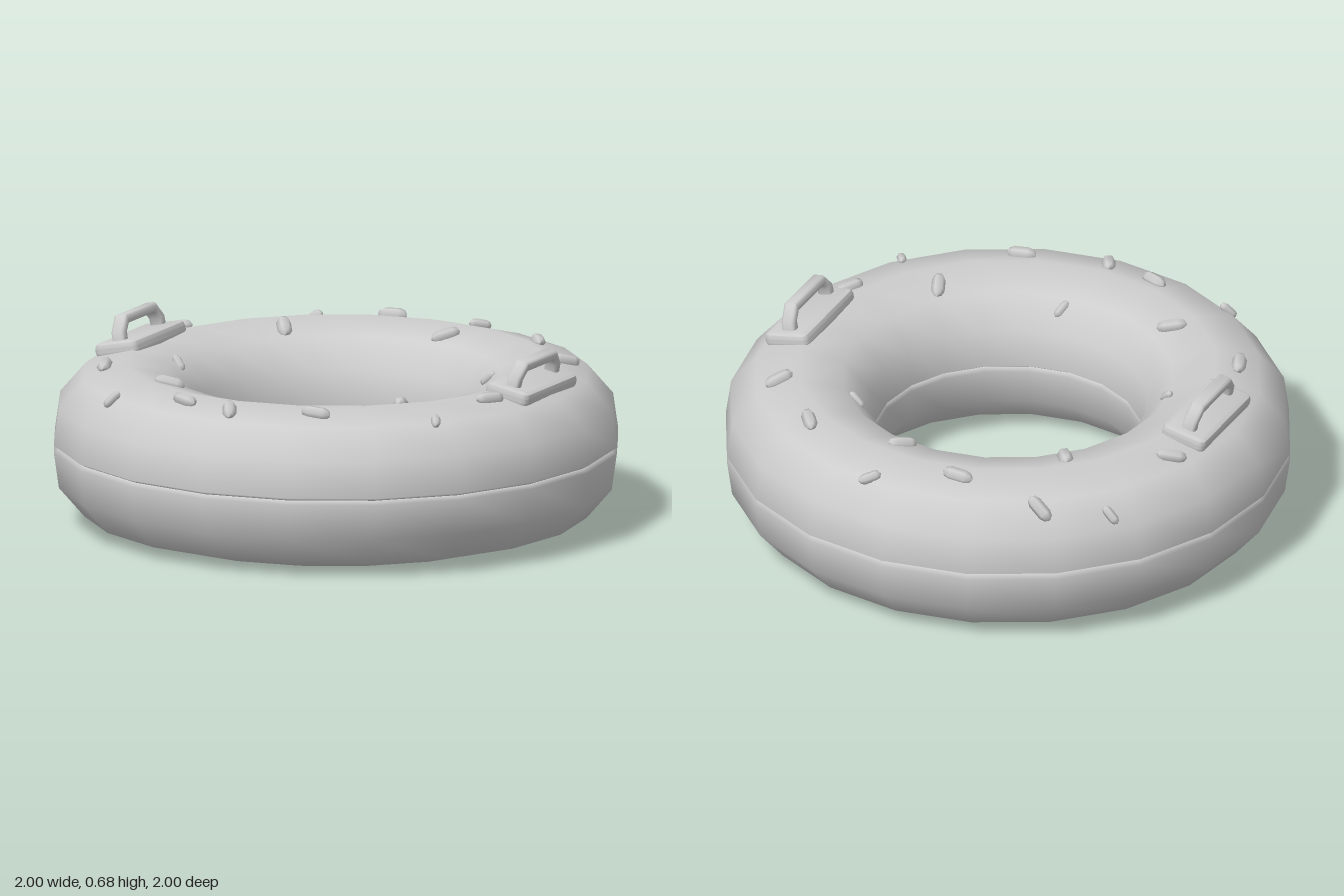
import * as THREE from 'three';
import { toCreasedNormals } from 'three/addons/utils/BufferGeometryUtils.js';

const MID = 0.2875; // height of the welded seam

// Upper half of the tube section, from outer seam over the top to inner seam
const HALF = [
  [0.975, 0.0], [0.998, 0.012], [0.98, 0.14], [0.89, 0.245], [0.735, 0.2875],
  [0.58, 0.245], [0.49, 0.14], [0.472, 0.012], [0.49, 0.0],
];

// Height and slope of the tube's upper surface at radius r
function surfaceAt(r) {
  for (let i = 1; i < HALF.length - 2; i++) {
    const [r0, y0] = HALF[i], [r1, y1] = HALF[i + 1];
    if (r <= r0 && r >= r1) {
      const t = (r - r0) / (r1 - r0);
      return { y: MID + y0 + (y1 - y0) * t, slope: (y1 - y0) / (r1 - r0) };
    }
  }
  return { y: MID * 2, slope: 0 };
}

// Sprinkles: x, z, direction x, direction z, length
const SPRINKLES = [
  [0.11, -0.87, 1, -1, 0.085], [-0.5, -0.76, 20, 3, 0.11], [-0.18, -0.76, 1, 0, 0.115],
  [-0.71, -0.625, 10, 1, 0.078], [0.105, -0.62, 14, -15, 0.11], [0.46, -0.64, 13, 17, 0.11],
  [-0.45, -0.46, 13, 20, 0.12], [0.685, -0.425, 12, -16, 0.11], [0.43, -0.325, 20, 1, 0.072],
  [-0.78, -0.285, 18, -9, 0.11], [-0.56, 0.12, 11, 5, 0.07], [0.745, 0.255, 11, -18, 0.11],
  [-0.71, 0.39, 8, 20, 0.115], [0.48, 0.42, 8, 20, 0.11], [-0.38, 0.525, 19, -7, 0.11],
  [0.06, 0.545, 7, -11, 0.072], [0.69, 0.555, 7, 12, 0.075], [-0.49, 0.75, 12, -7, 0.075],
  [-0.19, 0.77, 18, 8, 0.11], [0.01, 0.815, 9, 17, 0.11], [0.31, 0.735, 20, -2, 0.11],
];

function roundedRect(w, h, r) {
  const s = new THREE.Shape();
  s.moveTo(-w + r, -h);
  s.lineTo(w - r, -h).quadraticCurveTo(w, -h, w, -h + r);
  s.lineTo(w, h - r).quadraticCurveTo(w, h, w - r, h);
  s.lineTo(-w + r, h).quadraticCurveTo(-w, h, -w, h - r);
  s.lineTo(-w, -h + r).quadraticCurveTo(-w, -h, -w + r, -h);
  return s;
}

export function createModel() {
  const model = new THREE.Group();
  model.name = 'swimRing';
  const grey = new THREE.MeshStandardMaterial({ color: 0xcccccc });
  grey.name = 'light grey';

  const add = (parent, name, geometry) => {
    const mesh = new THREE.Mesh(geometry, grey);
    mesh.name = name;
    parent.add(mesh);
    return mesh;
  };

  // Inflated ring: two welded halves meeting in a narrow groove
  const upper = HALF.map(([r, y]) => new THREE.Vector2(r, MID + y));
  const lower = HALF.map(([r, y]) => new THREE.Vector2(r, MID - y)).reverse();
  add(model, 'upperRing', new THREE.LatheGeometry(upper, 20));
  add(model, 'lowerRing', new THREE.LatheGeometry(lower, 20));

  // Sprinkles lying along the surface
  const grain = new THREE.LatheGeometry(
    [[0, -0.5], [0.15, -0.42], [0.22, -0.25], [0.22, 0.25], [0.15, 0.42], [0, 0.5]]
      .map(([r, y]) => new THREE.Vector2(r, y)), 6);
  const sprinkles = new THREE.Group();
  sprinkles.name = 'sprinkles';
  model.add(sprinkles);
  const up = new THREE.Vector3(0, 1, 0);
  for (const [x, z, dx, dz, length] of SPRINKLES) {
    const r = Math.hypot(x, z);
    const { y, slope } = surfaceAt(r);
    const dir = new THREE.Vector3(dx, 0, dz).normalize();
    dir.y = slope * (dir.x * x + dir.z * z) / r;
    const sprinkle = add(sprinkles, 'sprinkle', grain);
    sprinkle.position.set(x, y + 0.006, z);
    sprinkle.quaternion.setFromUnitVectors(up, dir.normalize());
    sprinkle.scale.setScalar(length);
  }

  // Handle pad: rounded plate with a bevelled rim
  const pad = new THREE.ExtrudeGeometry(roundedRect(0.085, 0.195, 0.025), {
    depth: 0.015, bevelThickness: 0.02, bevelSize: 0.018, bevelOffset: -0.018,
    bevelSegments: 2, curveSegments: 3,
  });
  pad.rotateX(-Math.PI / 2);
  pad.translate(0, -0.01, 0);

  // Grip: a squared arch with cut corners
  const outer = [[0.16, 0.01], [0.158, 0.055], [0.112, 0.108]];
  const inner = [[0.124, 0.01], [0.122, 0.048], [0.098, 0.074]];
  const mirror = (pts) => pts.map(([z, y]) => [-z, y]).reverse();
  const outline = [...outer, ...mirror(outer), ...mirror(inner).reverse(), ...inner.slice().reverse()];
  const grip = new THREE.ExtrudeGeometry(
    new THREE.Shape(outline.map(([z, y]) => new THREE.Vector2(z, y))), {
      depth: 0.03, bevelThickness: 0.011, bevelSize: 0.011, bevelOffset: -0.011, bevelSegments: 2,
    });
  grip.translate(0, 0, -0.015);
  grip.rotateY(Math.PI / 2);

  const padGeometry = toCreasedNormals(pad, 0.7);
  const gripGeometry = toCreasedNormals(grip, 0.9);
  for (const side of [1, -1]) {
    const handle = new THREE.Group();
    handle.name = side > 0 ? 'leftHandle' : 'rightHandle';
    handle.position.set(side * 0.775, 0.57, 0);
    handle.rotation.z = -side * 0.2;
    add(handle, 'handlePad', padGeometry);
    add(handle, 'handleGrip', gripGeometry);
    model.add(handle);
  }
  return model;
}
